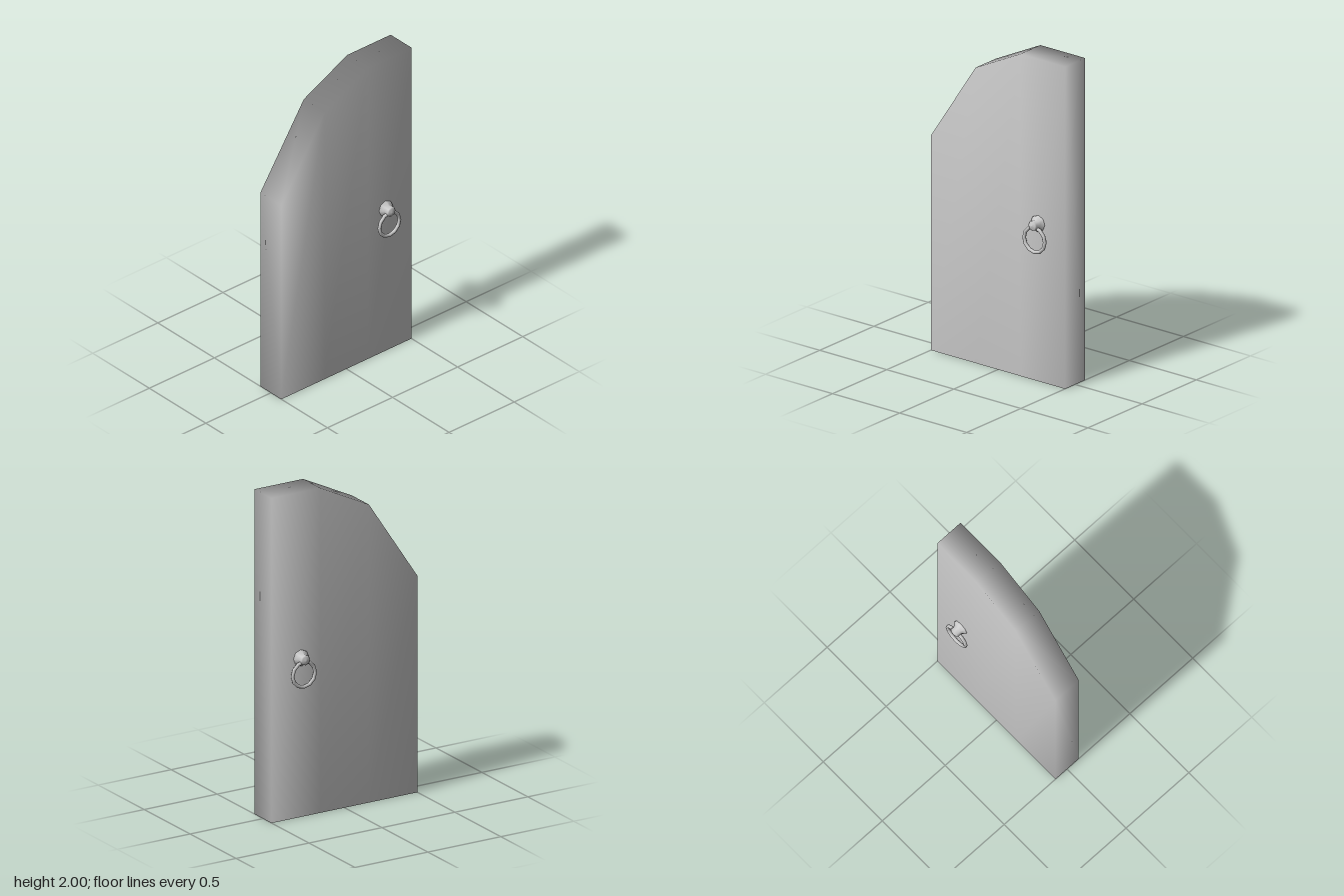
import * as THREE from 'three';

const material = new THREE.MeshStandardMaterial({ color: 0xcccccc });
const HALF_DEPTH = 0.0925;

// Slab in three columns; corners are shared so the shading rolls softly over the edges
function slabGeometry() {
  const columns = [[-0.5, 1.333], [-0.167, 1.835], [0.167, 2], [0.5, 2]];
  const positions = [];
  const index = [];
  const quad = (a, b, c, d) => index.push(a, b, c, a, c, d);
  for (const [x, top] of columns) {
    // front bottom, front top, back top, back bottom
    positions.push(x, 0, HALF_DEPTH, x, top, HALF_DEPTH, x, top, -HALF_DEPTH, x, 0, -HALF_DEPTH);
  }
  for (let i = 0; i < columns.length - 1; i++) {
    for (let j = 0; j < 4; j++) {
      const k = (j + 1) % 4;
      quad(i * 4 + j, i * 4 + 4 + j, i * 4 + 4 + k, i * 4 + k);
    }
  }
  const end = (columns.length - 1) * 4;
  quad(0, 1, 2, 3);
  quad(end + 3, end + 2, end + 1, end);
  const geometry = new THREE.BufferGeometry();
  geometry.setAttribute('position', new THREE.Float32BufferAttribute(positions, 3));
  geometry.setIndex(index);
  geometry.computeVertexNormals();
  return geometry;
}

// Flared knob with a hanging pull ring, facing +z
function createHandle(name) {
  const handle = new THREE.Group();
  handle.name = name;

  const profile = [[0.05, 0], [0.05, 0.009], [0.031, 0.024], [0.031, 0.053], [0.024, 0.058], [0, 0.0645]]
    .map(([r, h]) => new THREE.Vector2(r, h));
  const knob = new THREE.Mesh(new THREE.LatheGeometry(profile, 8).rotateX(Math.PI / 2), material);
  knob.name = 'knob';
  knob.position.set(0, 0.98, HALF_DEPTH);

  const ring = new THREE.Mesh(new THREE.TorusGeometry(0.077, 0.011, 8, 12), material);
  ring.name = 'pullRing';
  ring.position.set(0, 0.888, 0.127);

  handle.add(knob, ring);
  handle.position.x = 0.3;
  return handle;
}

export function createModel() {
  const door = new THREE.Group();
  door.name = 'door';

  const slab = new THREE.Mesh(slabGeometry(), material);
  slab.name = 'doorSlab';

  // One handle on each face
  const front = createHandle('frontHandle');
  const back = createHandle('backHandle');
  back.rotation.y = Math.PI;

  door.add(slab, front, back);
  return door;
}
